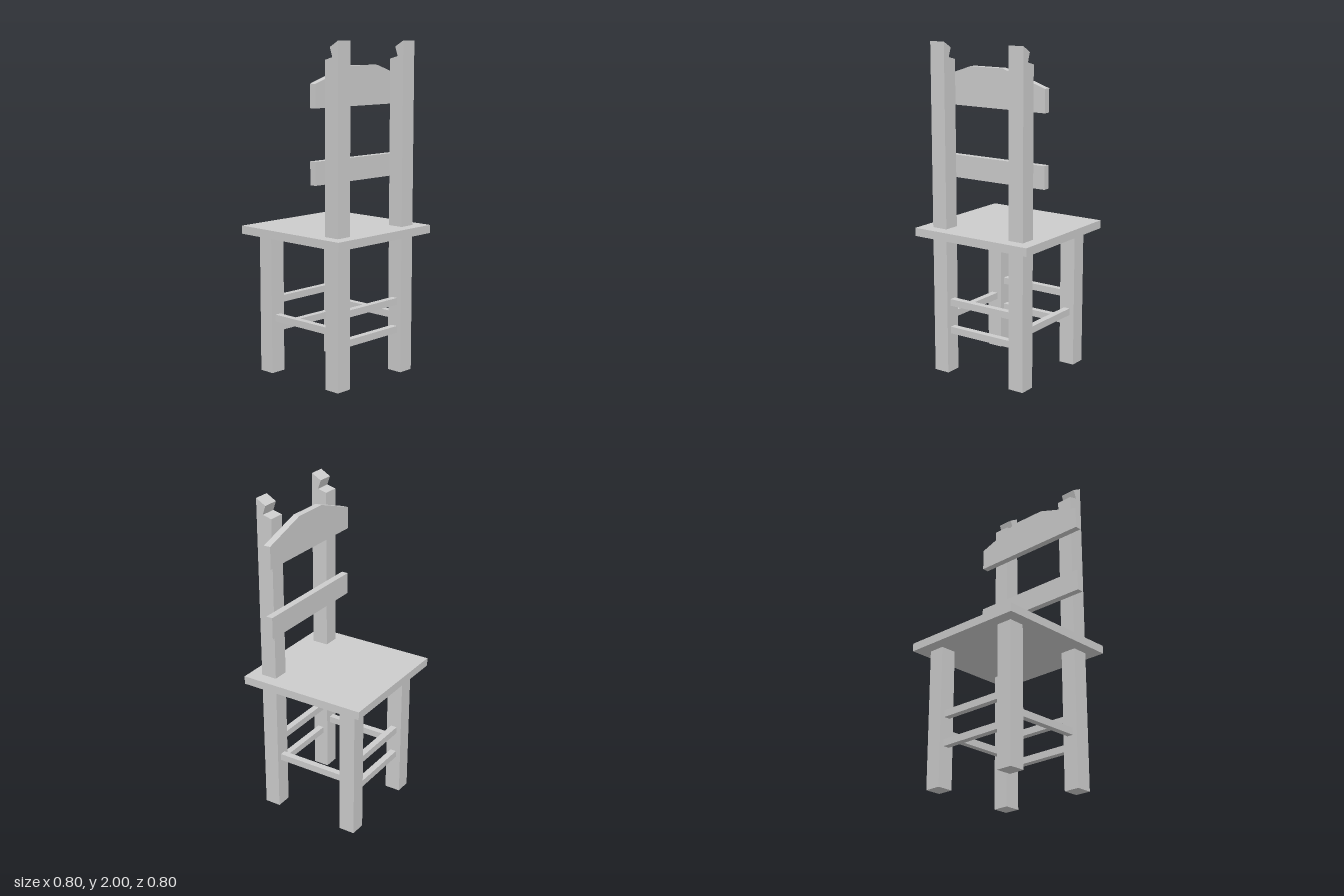
import * as THREE from 'three';

export function createModel() {
  const group = new THREE.Group();
  group.name = 'chair';
  const grey = new THREE.MeshStandardMaterial({ color: 0xcccccc });
  grey.name = 'plain grey';

  const add = (name, geometry, x = 0, y = 0, z = 0) => {
    const mesh = new THREE.Mesh(geometry, grey);
    mesh.name = name;
    mesh.position.set(x, y, z);
    group.add(mesh);
  };
  const box = (name, w, h, d, x, y, z) => add(name, new THREE.BoxGeometry(w, h, d), x, y, z);
  // Straight-sided plate from outline points, centred on its thickness
  const plate = (points, depth) => {
    const shape = new THREE.Shape(points.map(([x, y]) => new THREE.Vector2(x, y)));
    return new THREE.ExtrudeGeometry(shape, { depth, bevelEnabled: false }).translate(0, 0, -depth / 2);
  };

  box('seat', 0.8, 0.05, 0.8, 0, 0.875, 0);

  // Tall posts with notched tops, profile drawn in z and y
  const postProfile = [[0.225, 0], [0.325, 0], [0.325, 2], [0.263, 1.965], [0.282, 1.91], [0.225, 1.895]];
  for (const side of [-1, 1]) {
    const name = side > 0 ? 'left' : 'right';
    add(name + 'Post', plate(postProfile, 0.1).rotateY(-Math.PI / 2), side * 0.275);
    box(name + 'ShortLeg', 0.1, 0.85, 0.1, side * 0.275, 0.425, -0.275);
    box(name + 'SideRung', 0.04, 0.042, 0.45, side * 0.275, 0.34, 0);
    // Pairs of rungs between the legs at each end
    for (const y of [0.265, 0.44]) {
      box(side > 0 ? 'frontRung' : 'backRung', 0.45, 0.042, 0.04, 0, y, side * 0.275);
    }
  }

  // Backrest slats
  box('lowerSlat', 0.8, 0.135, 0.042, 0, 1.267, 0.204);
  const crest = [[-0.4, 1.63], [0.4, 1.63], [0.4, 1.765], [0.113, 1.86], [-0.113, 1.86], [-0.4, 1.765]];
  add('crestSlat', plate(crest, 0.042), 0, 0, 0.204);

  return group;
}
